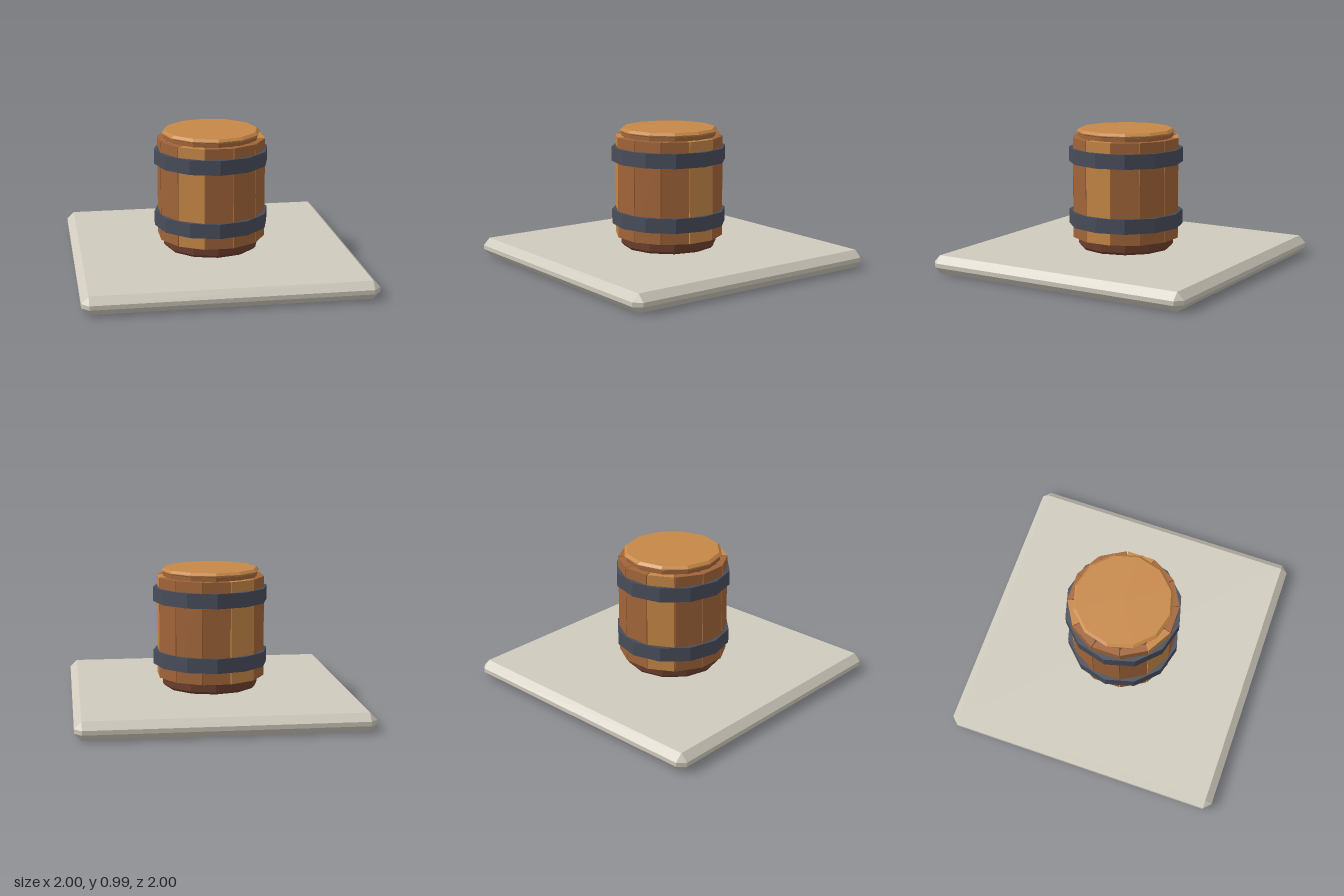
import * as THREE from 'three';
import { ConvexGeometry } from 'three/addons/geometries/ConvexGeometry.js';

const SIDES = 12;
const STEP = (Math.PI * 2) / SIDES;

const paint = (name, color) => {
  const m = new THREE.MeshStandardMaterial({ color });
  m.name = name;
  return m;
};

// Faceted turned solid from [radius, height] pairs, listed bottom to top
function turned(profile) {
  const points = profile.map(([r, y]) => new THREE.Vector2(r, y));
  const g = new THREE.LatheGeometry(points, SIDES).toNonIndexed();
  g.computeVertexNormals();
  return g;
}

// Flat plank, narrower on the inner side so neighbours meet with a thin gap
function staveGeometry(height, inner, outer) {
  const g = new THREE.BoxGeometry(1, height, outer - inner);
  const pos = g.attributes.position;
  for (let i = 0; i < pos.count; i++) {
    const r = pos.getZ(i) > 0 ? outer : inner;
    pos.setX(i, Math.sign(pos.getX(i)) * (r * Math.tan(STEP / 2) - 0.003));
    pos.setZ(i, r);
  }
  g.computeVertexNormals();
  return g;
}

// Slab with every edge and corner cut at 45 degrees
function chamferedSlab(w, h, d, c) {
  const points = [];
  for (const x of [-w / 2, w / 2])
    for (const y of [-h / 2, h / 2])
      for (const z of [-d / 2, d / 2]) {
        const xi = x - Math.sign(x) * c, yi = y - Math.sign(y) * c, zi = z - Math.sign(z) * c;
        points.push(
          new THREE.Vector3(x, yi, zi),
          new THREE.Vector3(xi, y, zi),
          new THREE.Vector3(xi, yi, z)
        );
      }
  return new ConvexGeometry(points);
}

export function createModel() {
  const model = new THREE.Group();
  model.name = 'barrelOnSlab';

  const stone = paint('stone', 0xcfcabd);
  const wood = paint('wood', 0xa2653a);
  const lightWood = paint('lightWood', 0xc68746);
  const darkWood = paint('darkWood', 0x6c3d2c);
  const iron = paint('iron', 0x484d5a);

  const add = (name, geometry, material, y = 0, parent = model) => {
    const mesh = new THREE.Mesh(geometry, material);
    mesh.name = name;
    mesh.position.y = y;
    parent.add(mesh);
    return mesh;
  };

  // Ground slab
  add('slab', chamferedSlab(2, 0.13, 2, 0.05), stone, 0.065);

  // Dark core, visible as the foot and between the staves
  add('core', turned([[0, 0.128], [0.325, 0.128], [0.343, 0.148], [0.343, 0.92], [0, 0.92]]), darkWood);

  // Staves, every fourth one lighter
  const staves = new THREE.Group();
  staves.name = 'staves';
  model.add(staves);
  const stave = staveGeometry(0.72, 0.325, 0.375);
  for (let i = 0; i < SIDES; i++) {
    const mesh = add('stave', stave, i % 4 === 3 ? lightWood : wood, 0.57, staves);
    mesh.rotation.y = i * STEP;
  }

  // Iron hoops
  for (const [name, y] of [['lowerHoop', 0.347], ['upperHoop', 0.802]]) {
    add(name, turned([[0.34, -0.052], [0.41, -0.052], [0.41, 0.052], [0.34, 0.052]]), iron, y);
  }

  // Lid on its collar
  add('lidCollar', turned([[0.34, 0.915], [0.34, 0.957], [0, 0.957]]), wood);
  add('lid', turned([[0, 0.956], [0.335, 0.956], [0.352, 0.966], [0.352, 0.971], [0.333, 0.988], [0, 0.988]]), lightWood);

  return model;
}
